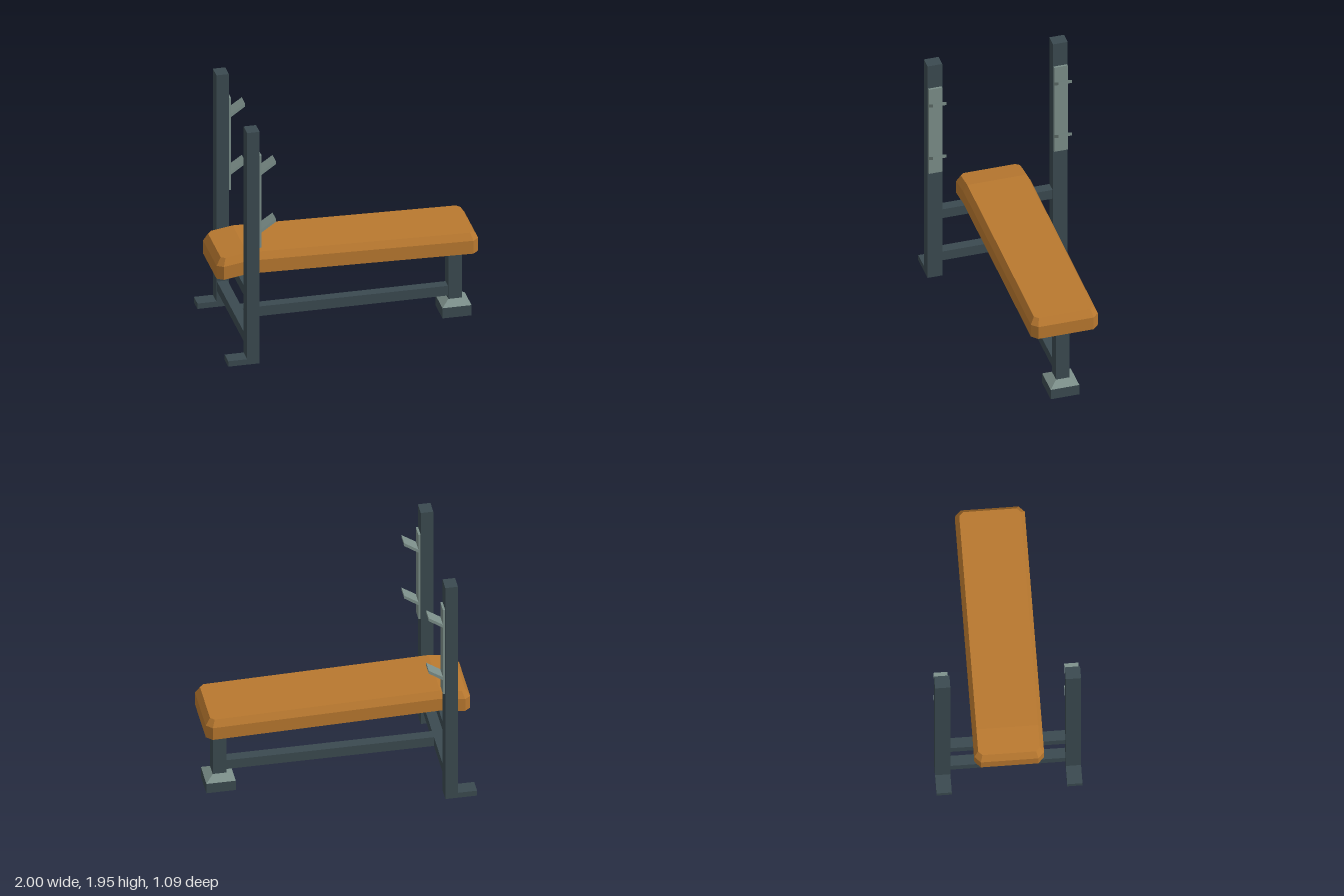
import * as THREE from 'three';

const steel = new THREE.MeshStandardMaterial({ color: 0x3b4a50, side: THREE.DoubleSide });
steel.name = 'dark steel';
const plate = new THREE.MeshStandardMaterial({ color: 0x7b8e89, side: THREE.DoubleSide });
plate.name = 'pale steel';
const leather = new THREE.MeshStandardMaterial({ color: 0xb8782f });
leather.name = 'tan leather';

function add(parent, name, geometry, material) {
  const mesh = new THREE.Mesh(geometry, material);
  mesh.name = name;
  parent.add(mesh);
  return mesh;
}

// Box given by its minimum and maximum corners; open leaves out the bottom
function box(x0, x1, y0, y1, z0, z1, open = false) {
  const g = new THREE.BoxGeometry(x1 - x0, y1 - y0, z1 - z0);
  if (open) g.setIndex([...g.index.array].filter((_, i) => i < 18 || i > 23));
  return g.translate((x0 + x1) / 2, (y0 + y1) / 2, (z0 + z1) / 2);
}

// Open four-sided sleeve with half widths at the bottom and the top
function sleeve(bottom, top, y0, y1, x) {
  let g = new THREE.CylinderGeometry(top * Math.SQRT2, bottom * Math.SQRT2, y1 - y0, 4, 1, true);
  g = g.rotateY(Math.PI / 4).toNonIndexed();
  g.computeVertexNormals();
  return g.translate(x, (y0 + y1) / 2, 0);
}

// Cushion lofted through three chamfered outlines, bent near the head end
function cushionGeometry() {
  const bend = -0.77;
  const drop = (x) => (x < bend ? (bend - x) * 0.155 : (x - bend) * 0.022);
  const ring = (hx, hz, c, y) => {
    const xs = [-hx, -hx + c, bend, hx - c, hx];
    const zs = [hz - c, hz, hz, hz, hz - c];
    const side = (s) => xs.map((x, i) => [x, y - drop(x), s * zs[i]]);
    return [...side(1), ...side(-1).reverse()];
  };
  const rings = [
    ring(1, 0.26, 0.045, 0.628),
    ring(1, 0.26, 0.045, 0.735),
    ring(0.965, 0.23, 0.03, 0.79),
  ];
  const out = [];
  const quad = (a, b, c, d) => out.push(...a, ...b, ...c, ...a, ...c, ...d);
  const n = 10;
  for (let k = 0; k < 2; k++) {
    for (let i = 0; i < n; i++) {
      const j = (i + 1) % n;
      quad(rings[k][i], rings[k][j], rings[k + 1][j], rings[k + 1][i]);
    }
  }
  const [low, , high] = rings;
  for (let i = 0; i < 4; i++) {
    quad(high[i], high[i + 1], high[n - 2 - i], high[n - 1 - i]);
    quad(low[n - 1 - i], low[n - 2 - i], low[i + 1], low[i]);
  }
  const g = new THREE.BufferGeometry();
  g.setAttribute('position', new THREE.Float32BufferAttribute(out, 3));
  g.computeVertexNormals();
  return g;
}

// Sloping bar rest, starting at height y on the upright plate
function hookGeometry(y) {
  const s = new THREE.Shape();
  s.moveTo(-0.735, y);
  s.lineTo(-0.625, y + 0.077);
  s.lineTo(-0.625, y + 0.103);
  s.lineTo(-0.735, y + 0.028);
  s.closePath();
  return new THREE.ExtrudeGeometry(s, { depth: 0.105, bevelEnabled: false }).translate(0, 0, -0.0525);
}

export function createModel() {
  const model = new THREE.Group();
  model.name = 'weightBench';

  add(model, 'cushion', cushionGeometry(), leather);

  // Uprights with feet, face plates and bar rests
  for (const side of [1, -1]) {
    const post = new THREE.Group();
    post.name = side > 0 ? 'leftUpright' : 'rightUpright';
    post.position.z = side * 0.487;
    add(post, 'post', box(-0.845, -0.75, 0.02, 1.95, -0.057, 0.057), steel);
    add(post, 'foot', box(-0.99, -0.845, 0.02, 0.065, -0.057, 0.057, true), steel);
    add(post, 'facePlate', box(-0.75, -0.733, 0.98, 1.747, -0.0525, 0.0525), plate);
    for (const y of [1.105, 1.585]) add(post, 'barRest', hookGeometry(y), plate);
    model.add(post);
  }

  // Upper and lower frame: a cross bar and a long rail each
  for (const y of [0.15, 0.535]) {
    add(model, 'crossBar', box(-0.84, -0.76, y, y + 0.08, -0.43, 0.43), steel);
    add(model, 'rail', box(-0.76, 0.812, y, y + 0.08, -0.04, 0.04), steel);
  }

  // Front leg on its hollow pedestal
  add(model, 'frontLeg', box(0.812, 0.916, 0.125, 0.61, -0.052, 0.052), steel);
  add(model, 'pedestalCollar', sleeve(0.111, 0.052, 0.085, 0.127, 0.864), plate);
  add(model, 'pedestalBase', sleeve(0.111, 0.111, 0, 0.085, 0.864), steel);

  return model;
}
